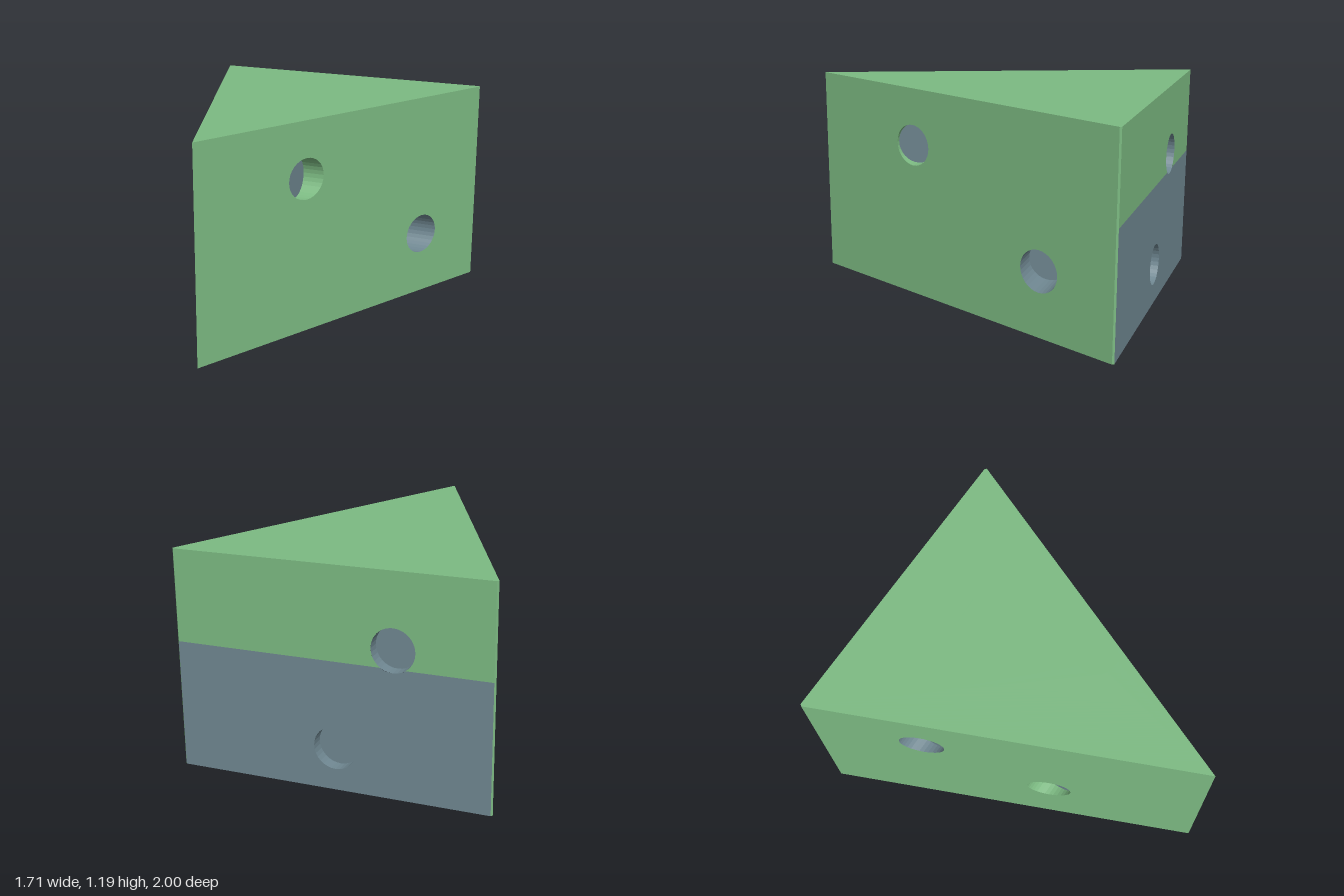
import * as THREE from 'three';

const H = 1.19, HALF = 0.853, R = 0.115, SEG = 32;
const CHAMFER = 0.01, SPLIT_Y = 0.695, SPLIT_X = -0.32;
const sideX = z => HALF * (1 - z) / (2 - CHAMFER);
const sideZ = x => 1 - x * (2 - CHAMFER) / HALF;
const backHalf = HALF - 0.008;

// Each face maps flat (u, v) coordinates onto the wedge; axis and sign give the drilling direction
const faces = {
  top: { point: (u, v) => [u, H, -v], axis: 1, sign: -1 },
  bottom: { point: (u, v) => [u, 0, v], axis: 1, sign: 1 },
  back: { point: (u, v) => [-u, v, -1], axis: 2, sign: 1 },
  left: { point: (u, v) => [sideX(-u), v, -u], axis: 0, sign: -1 },
  right: { point: (u, v) => [-sideX(u), v, u], axis: 0, sign: 1 },
};

function arc(u, v, from, to, n = SEG) {
  const pts = [];
  for (let i = 0; i <= n; i++) {
    const a = from + (to - from) * i / n;
    pts.push(new THREE.Vector2(u + R * Math.cos(a), v + R * Math.sin(a)));
  }
  return pts;
}

const circle = (u, v) => arc(u, v, 0, Math.PI * 2).slice(0, SEG);
const pts = list => list.map(p => new THREE.Vector2(p[0], p[1]));

// Move every vertex by a rule, then give each facet its own normal
function mapped(geometry, rule) {
  const g = geometry.index ? geometry.toNonIndexed() : geometry;
  const pos = g.attributes.position;
  for (let i = 0; i < pos.count; i++) {
    pos.setXYZ(i, ...rule(pos.getX(i), pos.getY(i), pos.getZ(i)));
  }
  g.computeVertexNormals();
  return g;
}

export function createModel() {
  const model = new THREE.Group();
  model.name = 'drilledWedge';
  const green = new THREE.MeshStandardMaterial({ color: 0x7cba82 });
  green.name = 'leafGreen';
  const grey = new THREE.MeshStandardMaterial({ color: 0x6f8791 });
  grey.name = 'slateGrey';

  function add(name, geometry, material, parent = model) {
    const mesh = new THREE.Mesh(geometry, material);
    mesh.name = name;
    parent.add(mesh);
  }

  // Flat outer panel with round openings
  function panel(name, face, outline, openings, material) {
    const shape = new THREE.Shape(outline);
    for (const [u, v] of openings) shape.holes.push(new THREE.Path(circle(u, v)));
    add(name, mapped(new THREE.ShapeGeometry(shape), (u, v) => face.point(u, v)), material);
  }

  // Blind round hole: inward-facing wall and flat floor
  function pocket(name, face, [u0, v0, depth = 0.07, wall = grey]) {
    const group = new THREE.Group();
    group.name = name;
    model.add(group);
    const floorAt = face.point(u0, v0)[face.axis] + face.sign * depth;
    const place = (u, v, onFloor) => {
      const p = face.point(u0 + u, v0 + v);
      if (onFloor) p[face.axis] = floorAt;
      return p;
    };
    const tube = new THREE.CylinderGeometry(R, R, 1, SEG, 1, true);
    add('pocketWall', mapped(tube, (x, y, z) => place(x, z, y < 0)), wall, group);
    const disc = new THREE.CircleGeometry(R, SEG);
    add('pocketFloor', mapped(disc, (x, y) => place(x, y, true)), grey, group);
  }

  // Hole centres in face coordinates, with optional depth and wall colour
  const holes = {
    top: [[-0.355, 0.575], [0.255, 0.575], [0.235, -0.135, 0.13]],
    bottom: [[0.295, -0.573, 0.15], [-0.11, 0.14]],
    back: [[0.338, 0.79], [0.025, 0.23]],
    left: [[-0.31, 0.87, 0.07, green], [0.545, 0.362, 0.2]],
    right: [[-0.435, 0.87], [0.21, 0.447, 0.07, green]],
  };
  for (const key in holes) {
    holes[key].forEach((h, i) => pocket(`${key}Pocket${i + 1}`, faces[key], h));
  }

  // Top and two long sides
  const zb = -1 + CHAMFER;
  panel('topPanel', faces.top, pts([
    [0, -1], [HALF, -zb], [backHalf, 1], [-backHalf, 1], [-HALF, -zb],
  ]), holes.top, green);
  panel('leftPanel', faces.left, pts([[-1, 0], [-zb, 0], [-zb, H], [-1, H]]), holes.left, green);
  panel('rightPanel', faces.right, pts([[zb, 0], [1, 0], [1, H], [zb, H]]), holes.right, green);

  // Two-colour underside
  const zs = sideZ(-SPLIT_X);
  panel('bottomPanel', faces.bottom, pts([
    [SPLIT_X, -1], [backHalf, -1], [HALF, zb], [0, 1], [SPLIT_X, zs],
  ]), holes.bottom, green);
  panel('bottomCorner', faces.bottom, pts([
    [-HALF, zb], [-backHalf, -1], [SPLIT_X, -1], [SPLIT_X, zs],
  ]), [], grey);

  // Two-colour back; the upper hole cuts through the dividing line
  const [hu, hv] = holes.back[0];
  const a = Math.asin((SPLIT_Y - hv) / R);
  panel('backUpper', faces.back, [
    ...pts([[-backHalf, SPLIT_Y]]),
    ...arc(hu, hv, Math.PI - a, a),
    ...pts([[backHalf, SPLIT_Y], [backHalf, H], [-backHalf, H]]),
  ], [], green);
  panel('backLower', faces.back, [
    ...pts([[-backHalf, 0], [backHalf, 0], [backHalf, SPLIT_Y]]),
    ...arc(hu, hv, a, -Math.PI - a, 10),
    ...pts([[-backHalf, SPLIT_Y]]),
  ], [holes.back[1]], grey);

  // Narrow chamfers on the two rear corners
  for (const s of [-1, 1]) {
    const strip = mapped(new THREE.PlaneGeometry(1, 1), (x, y) => {
      const rear = s * x > 0;
      return [s * (rear ? backHalf : HALF), (y + 0.5) * H, rear ? -1 : zb];
    });
    add(s > 0 ? 'leftRearChamfer' : 'rightRearChamfer', strip, green);
  }
  return model;
}
